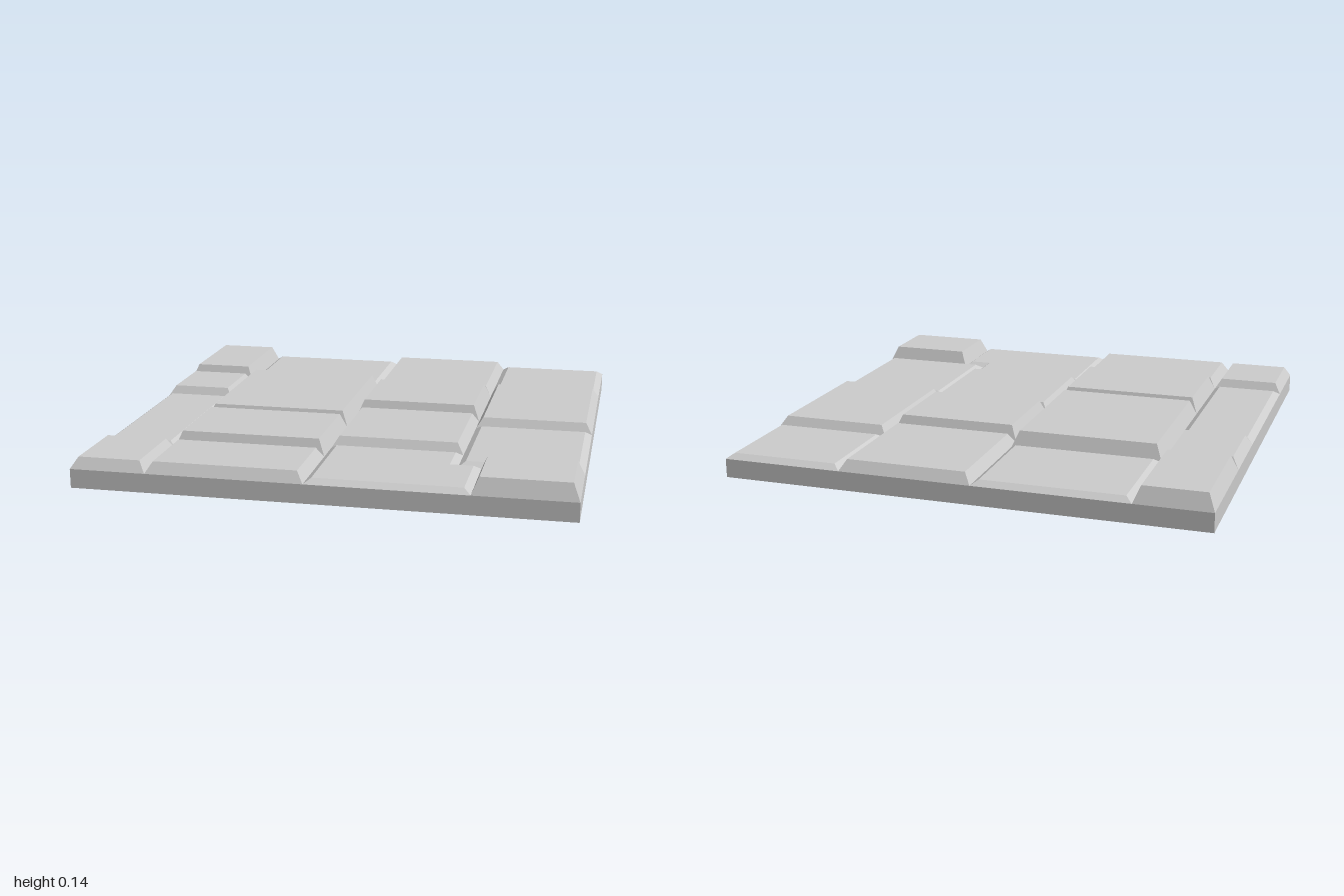
import * as THREE from 'three';

const BASE = 0.078, BEVEL = 0.028;
const LOW = 0.098, MID = 0.123, HIGH = 0.145;

// Stone with sloped sides: outline [x, z] runs counter-clockwise seen from above
function stoneGeometry(outline, top) {
  const n = outline.length;
  const inward = outline.map(([x, z], i) => {
    const [bx, bz] = outline[(i + 1) % n];
    const len = Math.hypot(bx - x, bz - z);
    return [(bz - z) / len, (x - bx) / len];
  });
  // inset each corner along the normals of its two (perpendicular) edges
  const inner = outline.map(([x, z], i) => {
    const p = inward[(i + n - 1) % n], q = inward[i];
    return [x + BEVEL * (p[0] + q[0]), z + BEVEL * (p[1] + q[1])];
  });
  const pos = [];
  const add = ([x, z], y) => pos.push(x, y, z);
  for (let i = 0; i < n; i++) {
    const j = (i + 1) % n;
    add(outline[i], BASE); add(outline[j], BASE); add(inner[j], top);
    add(outline[i], BASE); add(inner[j], top); add(inner[i], top);
  }
  const flat = inner.map(([x, z]) => new THREE.Vector2(x, -z));
  for (const face of THREE.ShapeUtils.triangulateShape(flat, [])) {
    for (const k of face) add(inner[k], top);
  }
  const g = new THREE.BufferGeometry();
  g.setAttribute('position', new THREE.Float32BufferAttribute(pos, 3));
  g.computeVertexNormals();
  return g;
}

const rect = (x0, x1, z0, z1) => [[x0, z0], [x0, z1], [x1, z1], [x1, z0]];

export function createModel() {
  const model = new THREE.Group();
  model.name = 'pavingSlab';
  const material = new THREE.MeshStandardMaterial({ color: 0xcccccc, flatShading: true });
  const addMesh = (name, geometry) => {
    const mesh = new THREE.Mesh(geometry, material);
    mesh.name = name;
    model.add(mesh);
    return mesh;
  };

  // Square base
  addMesh('base', new THREE.BoxGeometry(2, BASE, 2)).position.y = BASE / 2;

  // Columns of rectangular stones: joints along z and the height of each stone
  const columns = [
    { x: [-1, -0.69], z: [-1, -0.503, -0.158, 0.64, 1], tops: [HIGH, MID, LOW, MID] },
    { x: [-0.69, -0.052], z: [-1, -0.503, 0.203, 0.64, 1], tops: [LOW, HIGH, HIGH, MID] },
    { x: [-0.052, 0.5], z: [-1, -0.44, -0.003, 0.508], tops: [MID, HIGH, MID] },
    { x: [0.5, 1], z: [-1, -0.543, 0.107, 0.67], tops: [LOW, MID, LOW] },
  ];
  columns.forEach(({ x, z, tops }, c) => tops.forEach((top, r) =>
    addMesh(`stone${c + 1}_${r + 1}`, stoneGeometry(rect(x[0], x[1], z[r], z[r + 1]), top))));

  // L-shaped front stone and the tall corner stone beside it
  addMesh('notchedStone', stoneGeometry(
    [[-0.052, 0.508], [-0.052, 1], [0.594, 1], [0.594, 0.67], [0.5, 0.67], [0.5, 0.508]], LOW));
  addMesh('cornerStone', stoneGeometry(rect(0.594, 1, 0.67, 1), HIGH));

  return model;
}
